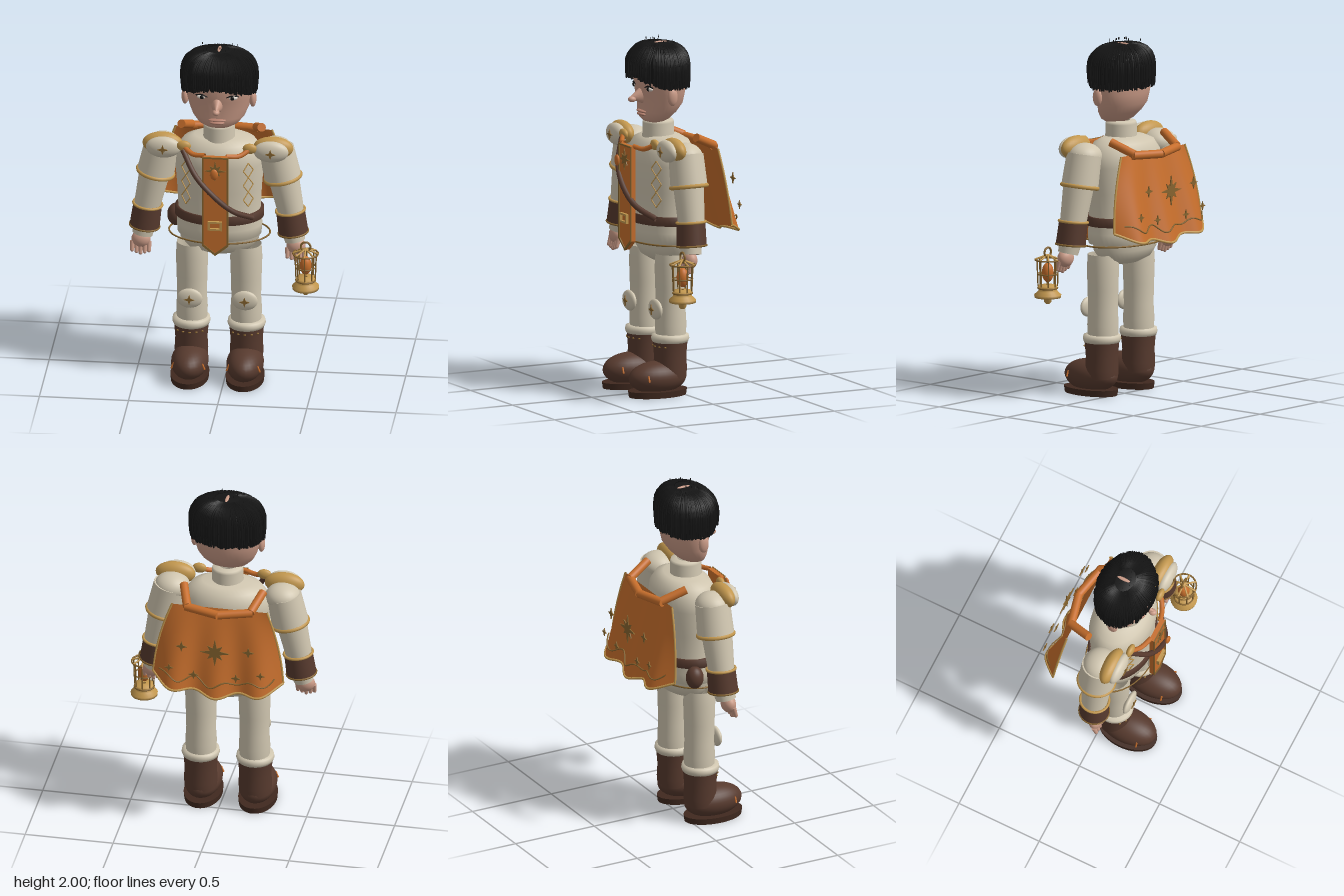
import * as THREE from 'three';

const paint = (name, color) => {
  const m = new THREE.MeshStandardMaterial({ color, side: THREE.DoubleSide });
  m.name = name;
  return m;
};
const V = (p) => new THREE.Vector3(...p);
const ball = new THREE.SphereGeometry(1, 28, 18);

export function createModel() {
  const cream = paint('cream cloth', 0xd0c6b0), orange = paint('orange cloth', 0xc66e2c);
  const gold = paint('gold', 0xc2974e), trim = paint('dark gold', 0x86642f);
  const brown = paint('brown leather', 0x573a2e), sole = paint('dark sole', 0x40291f);
  const skin = paint('skin', 0xc99a86), lip = paint('lips', 0xb5816f);
  const black = paint('black', 0x151515), white = paint('eye white', 0xddd6cc);

  const model = new THREE.Group();
  model.name = 'lanternGuard';
  model.position.x = -0.04;

  // helpers
  const add = (name, geo, mat, pos = [0, 0, 0], scale = [1, 1, 1]) => {
    const m = new THREE.Mesh(geo, mat);
    m.name = name;
    m.position.set(...pos);
    m.scale.set(...scale);
    model.add(m);
    return m;
  };
  const blob = (name, mat, pos, scale) => add(name, ball, mat, pos, scale);
  const turned = (profile, seg = 40) =>
    new THREE.LatheGeometry(profile.map(([r, y]) => new THREE.Vector2(r, y)), seg);
  const tube = (name, mat, pts, r, closed = false, seg = 32) =>
    add(name, new THREE.TubeGeometry(new THREE.CatmullRomCurve3(pts.map(V), closed), seg, r, 8, closed), mat);
  const limb = (name, mat, a, b, ra, rb) => {
    const d = V(b).sub(V(a));
    const m = add(name, new THREE.CylinderGeometry(rb, ra, d.length(), 28), mat,
      V(a).add(V(b)).multiplyScalar(0.5).toArray());
    m.quaternion.setFromUnitVectors(new THREE.Vector3(0, 1, 0), d.normalize());
    return m;
  };
  const ring = (name, mat, pos, r, t, depth = 1, tilt = 0) => {
    const m = add(name, new THREE.TorusGeometry(r, t, 8, 40), mat, pos, [1, depth, 1]);
    m.rotation.set(Math.PI / 2, tilt, 0);
    return m;
  };
  const star = (name, n, r, pos) => {
    const s = new THREE.Shape();
    for (let i = 0; i < n * 2; i++) {
      const a = (i * Math.PI) / n, k = i % 2 ? r * 0.35 : (n > 4 && i % 4 ? r * 0.7 : r);
      s[i ? 'lineTo' : 'moveTo'](Math.sin(a) * k, Math.cos(a) * k);
    }
    return add(name, new THREE.ExtrudeGeometry(s, { depth: 0.006, bevelEnabled: false }), trim, pos);
  };
  let seed = 7;
  const rnd = () => (seed = (seed * 16807) % 2147483647) / 2147483647;

  // torso, neck and hips
  add('torso', turned([[0.2, 0.85], [0.235, 0.86], [0.24, 0.92], [0.23, 1.0], [0.238, 1.15], [0.25, 1.3],
    [0.24, 1.37], [0.2, 1.425], [0.14, 1.45], [0.02, 1.46]]), cream, [0, 0, 0.04], [1, 1, 0.69]);
  add('collar', turned([[0.095, 1.4], [0.095, 1.43], [0.088, 1.46], [0.088, 1.52], [0.083, 1.535], [0.05, 1.54]]),
    cream, [0, 0, 0.06]);
  add('hips', turned([[0.01, 0.735], [0.1, 0.74], [0.18, 0.77], [0.22, 0.82], [0.228, 0.88]]), cream,
    [0, 0, 0.03], [1, 1, 0.6]);
  add('belt', turned([[0.23, 0.965], [0.25, 0.965], [0.25, 1.015], [0.23, 1.015]]), brown, [0, 0, 0.04], [1, 1, 0.72]);
  ring('hemRing', trim, [0, 0.86, 0.04], 0.283, 0.005, 0.66);
  blob('pouch', brown, [-0.25, 0.92, -0.02], [0.05, 0.065, 0.05]);

  // head: turned oval with the jaw pushed forward
  const headGeo = turned([[0.01, 1.525], [0.07, 1.53], [0.11, 1.55], [0.145, 1.59], [0.168, 1.64], [0.185, 1.7],
    [0.195, 1.76], [0.195, 1.82], [0.17, 1.89], [0.11, 1.94], [0.01, 1.96]]);
  const hp = headGeo.attributes.position;
  for (let i = 0; i < hp.count; i++) {
    const y = hp.getY(i);
    hp.setZ(i, hp.getZ(i) * 0.68 + Math.max(0, 1.64 - y) * 0.4);
  }
  headGeo.computeVertexNormals();
  add('head', headGeo, skin, [0, 0, 0.05]);
  const nose = add('nose', new THREE.ConeGeometry(0.05, 0.095, 20), skin, [0, 1.675, 0.2], [0.75, 1, 1.1]);
  nose.rotation.x = Math.PI / 2 + 0.12;
  blob('noseTip', skin, [0, 1.662, 0.225], [0.02, 0.017, 0.024]);
  blob('upperLip', lip, [0, 1.59, 0.165], [0.05, 0.009, 0.02]);
  blob('lowerLip', lip, [0, 1.574, 0.165], [0.042, 0.01, 0.02]);
  for (const s of [-1, 1]) {
    blob('eye', white, [s * 0.085, 1.727, 0.158], [0.03, 0.013, 0.015]);
    blob('iris', black, [s * 0.085, 1.727, 0.168], [0.012, 0.012, 0.008]);
    tube('eyelid', black, [[s * 0.052, 1.732, 0.172], [s * 0.085, 1.743, 0.168], [s * 0.12, 1.735, 0.155]], 0.004);
    blob('ear', skin, [s * 0.19, 1.69, 0.07], [0.02, 0.05, 0.03]);
  }

  // hair: cap with draped strands, raised over the brow
  const hairProfile = [[1, 1.74], [1.03, 1.82], [1, 1.885], [0.88, 1.93], [0.66, 1.958], [0.35, 1.97], [0.03, 1.972]];
  const brow = (z) => 0.055 * Math.max(0, z) ** 3;
  const cap = turned(hairProfile, 64), cp = cap.attributes.position;
  for (let i = 0; i < cp.count; i++) {
    const lift = cp.getY(i) < 1.75 ? brow(cp.getZ(i)) : 0;
    cp.setXYZ(i, cp.getX(i) * 0.202, cp.getY(i) + lift, cp.getZ(i) * 0.15);
  }
  cap.computeVertexNormals();
  add('hairCap', cap, black, [0, 0, 0.055]);
  for (let i = 0; i < 150; i++) {
    const a = (i / 150) * Math.PI * 2 + rnd() * 0.03, c = Math.cos(a), k = 0.985 + rnd() * 0.05;
    const front = c > 0.75 ? 0.012 : 0, drop = rnd() * 0.012;
    const pts = hairProfile.slice(0, 6).map(([r, y], j) => [Math.sin(a) * r * 0.204 * k,
      j ? y : y + brow(c) - drop, 0.055 + c * r * 0.152 * k + (j < 3 ? front : 0)]);
    add('hairStrand', new THREE.TubeGeometry(new THREE.CatmullRomCurve3(pts.map(V)), 10, 0.005, 4), black);
  }
  for (let i = 0; i < 14; i++)
    add('strayHair', new THREE.BoxGeometry(0.003, 0.012, 0.003), black,
      [(i / 13 - 0.5) * 0.2, 1.994 - Math.abs(i - 6.5) * 0.0015, 0.04 + (rnd() - 0.5) * 0.15]);
  blob('parting', skin, [0, 1.972, 0.045], [0.01, 0.006, 0.04]);

  // arms, shoulders, legs and boots
  for (const s of [-1, 1]) {
    const P = (x, y, z) => [s * x, y, z];
    blob('shoulder', cream, P(0.315, 1.375, 0.055), [0.1, 0.075, 0.095]);
    limb('upperSleeve', cream, P(0.357, 1.21, 0.055), P(0.32, 1.385, 0.055), 0.104, 0.098);
    ring('sleeveBand', gold, P(0.357, 1.21, 0.055), 0.1, 0.012, 1, s * 0.2);
    limb('forearm', cream, P(0.405, 1.0, 0.065), P(0.362, 1.21, 0.06), 0.073, 0.086);
    limb('cuff', brown, P(0.417, 0.885, 0.07), P(0.4, 1.015, 0.065), 0.084, 0.08);
    ring('cuffTopBand', gold, P(0.4, 1.015, 0.065), 0.08, 0.008, 1, s * 0.12);
    ring('cuffBottomBand', trim, P(0.417, 0.885, 0.07), 0.083, 0.006, 1, s * 0.12);
    limb('wrist', cream, P(0.428, 0.838, 0.08), P(0.417, 0.89, 0.075), 0.057, 0.062);
    blob('palm', skin, P(0.435, 0.81, 0.092), [0.054, 0.05, 0.04]);
    for (let f = 0; f < 5; f++) {
      const x = 0.435 + (f - 2) * 0.0235, low = 0.735 + Math.abs(f - 2) * 0.008;
      limb('finger', skin, P(x, low, 0.115), P(x, 0.8, 0.1), 0.011, 0.014);
      blob('fingertip', skin, P(x, low, 0.115), [0.011, 0.012, 0.011]);
    }
    blob('epaulette', gold, P(0.31, 1.417, 0.125), [0.113, 0.066, 0.05]);
    blob('epauletteFace', cream, P(0.302, 1.41, 0.165), [0.098, 0.062, 0.04]);
    star('epauletteStar', 4, 0.03, P(0.302, 1.41, 0.204));
    blob('shoulderKnob', gold, P(0.185, 1.43, 0.18), [0.04, 0.03, 0.02]);
    tube('shoulderCord', orange, [P(0.19, 1.43, 0.18), P(0.13, 1.4, 0.22), P(0.06, 1.405, 0.245)], 0.014);
    for (let i = 0; i < 3; i++) {
      const y = 1.29 - i * 0.088;
      const d = [[0, 0.044], [0.026, 0], [0, -0.044], [-0.026, 0]].map(([x, h]) => P(0.175 + x, y + h, 0.165 - x * 0.7));
      d.forEach((p, j) => limb('chestDiamond', gold, p, d[(j + 1) % 4], 0.003, 0.003));
    }
    add('leg', turned([[0.084, 0.32], [0.088, 0.4], [0.083, 0.48], [0.086, 0.6], [0.09, 0.72], [0.085, 0.8]]),
      cream, P(0.152, 0, 0.062));
    blob('kneePad', cream, P(0.155, 0.49, 0.16), [0.072, 0.058, 0.024]);
    star('kneeStar', 4, 0.03, P(0.155, 0.49, 0.183));
    add('bootCuff', turned([[0.08, 0.3], [0.1, 0.302], [0.107, 0.32], [0.103, 0.342], [0.08, 0.346]]), cream,
      P(0.155, 0, 0.067));
    add('bootShaft', turned([[0.09, 0.1], [0.094, 0.15], [0.09, 0.22], [0.097, 0.305]]), brown, P(0.155, 0, 0.067));
    blob('bootFoot', brown, P(0.155, 0.105, 0.147), [0.104, 0.092, 0.174]);
    add('bootSole', new THREE.CylinderGeometry(1, 0.97, 0.035, 40), sole, P(0.155, 0.0185, 0.147), [0.108, 1, 0.177]);
    for (const t of [-1, 1])
      limb('bootTab', orange, P(0.155 + t * 0.094, 0.095, 0.245), P(0.155 + t * 0.08, 0.13, 0.245), 0.005, 0.005);
    for (let i = -2; i <= 2; i++)
      blob('bootStud', trim, P(0.155 + Math.sin(i * 0.4) * 0.096, 0.28, 0.067 + Math.cos(i * 0.4) * 0.096), [0.008, 0.005, 0.006]);
  }

  // tabard with trim, star and buckle
  const outline = (w, top, side, tip) => [[-w, top], [w, top], [w, side], [0, tip], [-w, side]].map((p) => new THREE.Vector2(...p));
  const panel = new THREE.Shape(outline(0.071, 1.405, 0.868, 0.81));
  add('tabard', new THREE.ExtrudeGeometry(panel, { depth: 0.028, bevelEnabled: false }), orange, [0, 0, 0.24]);
  const edge = new THREE.Shape(outline(0.074, 1.407, 0.866, 0.806));
  edge.holes.push(new THREE.Path(outline(0.064, 1.398, 0.874, 0.821)));
  add('tabardTrim', new THREE.ExtrudeGeometry(edge, { depth: 0.006, bevelEnabled: false }), trim, [0, 0, 0.267]);
  star('chestStar', 8, 0.062, [0, 1.325, 0.27]);
  blob('chestGem', orange, [0, 1.325, 0.32], [0.022, 0.032, 0.012]);
  const buckle = new THREE.Shape([[-0.04, -0.027], [0.04, -0.027], [0.04, 0.027], [-0.04, 0.027]].map((p) => new THREE.Vector2(...p)));
  buckle.holes.push(new THREE.Path([[-0.028, -0.016], [0.028, -0.016], [0.028, 0.016], [-0.028, 0.016]].map((p) => new THREE.Vector2(...p))));
  add('buckle', new THREE.ExtrudeGeometry(buckle, { depth: 0.015, bevelEnabled: false }), gold, [0, 0.992, 0.27]);
  tube('chestStrap', brown, [[-0.19, 1.41, 0.19], [-0.11, 1.28, 0.255], [0, 1.165, 0.278], [0.1, 1.075, 0.255], [0.2, 1.01, 0.18]], 0.016);

  // cape: a draped sheet with folds
  const drape = (u, v) => [u * (0.27 + 0.17 * v - 0.07 * v * v), 1.39 - v * (0.49 - 0.06 * u * u + 0.012 * Math.cos(u * 9)),
    -0.175 - 0.125 * v - 0.02 * v * Math.cos(u * 9.5) + 0.07 * v * u ** 6];
  const capeGeo = new THREE.PlaneGeometry(2, 1, 60, 20), kp = capeGeo.attributes.position;
  for (let i = 0; i < kp.count; i++) kp.setXYZ(i, ...drape(kp.getX(i), 0.5 - kp.getY(i)));
  capeGeo.computeVertexNormals();
  add('cape', capeGeo, orange);
  const steps = Array.from({ length: 41 }, (_, i) => i / 20 - 1);
  tube('capeHem', gold, steps.map((u) => drape(u, 1)), 0.007, false, 90);
  for (const s of [-1, 1]) tube('capeSideTrim', gold, [0, 0.25, 0.5, 0.75, 1].map((v) => drape(s, v)), 0.006);
  tube('capeWave', trim, steps.slice(2, 39).map((u) => {
    const [x, y, z] = drape(u, 0.86 + 0.03 * Math.sin(u * 14));
    return [x, y, z - 0.01];
  }), 0.004, false, 90);
  star('capeStar', 8, 0.085, [0, 1.18, -0.313]);
  for (const s of [-1, 1]) {
    star('capeSmallStar', 4, 0.033, [s * 0.19, 1.2, -0.313]);
    star('capeLowStar', 4, 0.028, [s * 0.12, 1.03, -0.318]);
    star('capeEdgeStar', 4, 0.025, [s * 0.26, 1.06, -0.318]);
    limb('capeStrap', orange, [s * 0.225, 1.455, -0.06], [s * 0.18, 1.395, -0.195], 0.024, 0.024);
    limb('capeYoke', orange, [s * 0.19, 1.39, -0.19], [0, 1.38, -0.235], 0.024, 0.024);
  }

  // lantern hung from the left hand
  const lx = 0.497, lz = 0.17;
  add('lanternBase', turned([[0.01, 0.55], [0.02, 0.56], [0.022, 0.575], [0.03, 0.585], [0.074, 0.587], [0.076, 0.603],
    [0.055, 0.622], [0.05, 0.635], [0.053, 0.655], [0.01, 0.66]], 24), gold, [lx, 0, lz]);
  ring('lanternFoot', trim, [lx, 0.64, lz], 0.054, 0.005);
  ring('lanternRim', trim, [lx, 0.8, lz], 0.07, 0.005);
  ring('lanternBand', trim, [lx, 0.72, lz], 0.056, 0.004);
  for (let i = 0; i < 8; i++) {
    const c = Math.cos((i * Math.PI) / 4), s = Math.sin((i * Math.PI) / 4);
    limb('lanternBar', trim, [lx + c * 0.054, 0.65, lz + s * 0.054], [lx + c * 0.06, 0.8, lz + s * 0.06], 0.004, 0.004);
    limb('lanternRoofBar', gold, [lx + c * 0.072, 0.8, lz + s * 0.072], [lx, 0.828, lz], 0.005, 0.005);
  }
  blob('lanternFlame', orange, [lx, 0.728, lz], [0.033, 0.055, 0.033]);
  add('lanternHandle', new THREE.TorusGeometry(0.027, 0.006, 8, 28), trim, [lx, 0.842, lz]);

  return model;
}
